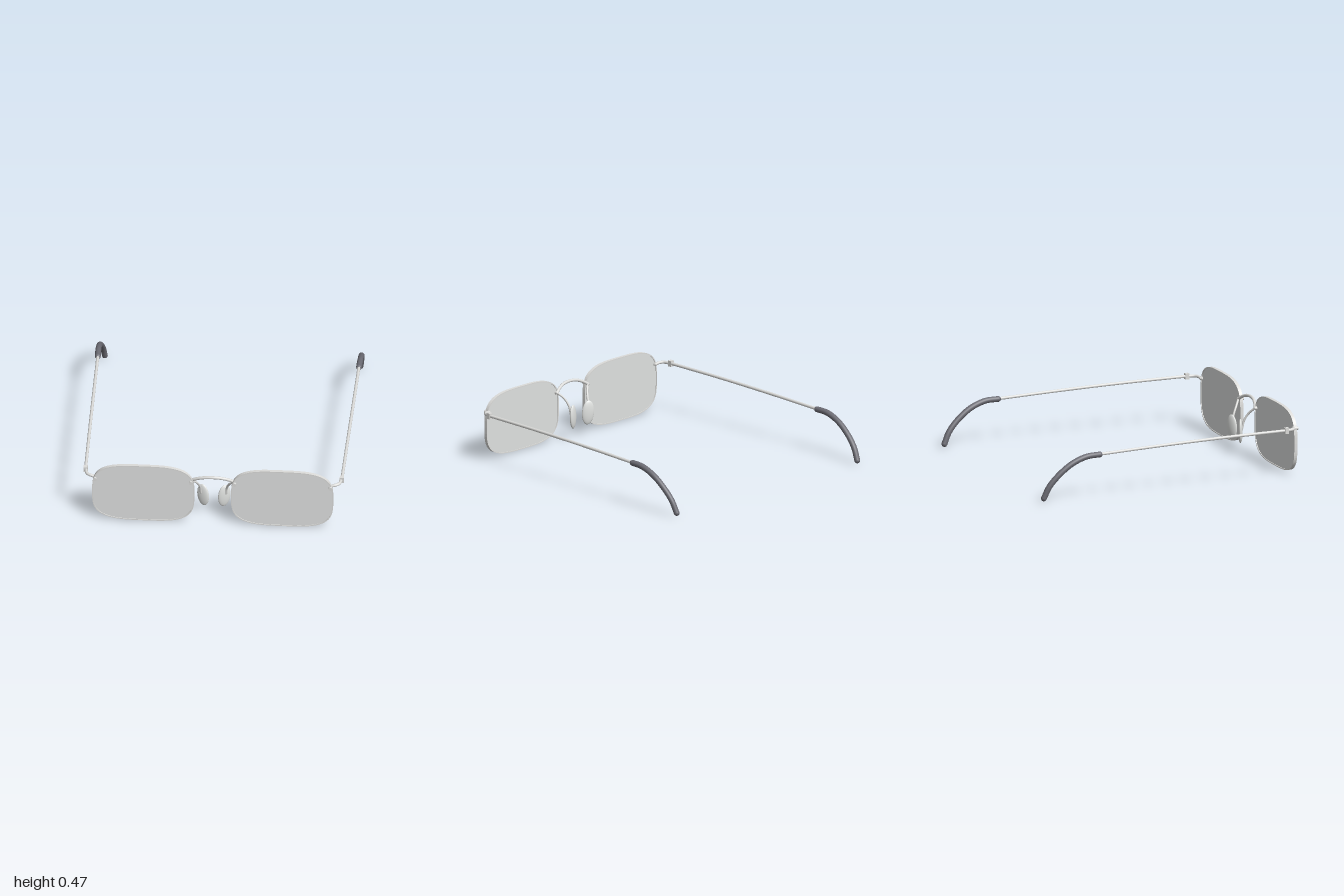
import * as THREE from 'three';

const mat = (name, color, side = THREE.FrontSide) => {
  const m = new THREE.MeshStandardMaterial({ color, side });
  m.name = name;
  return m;
};

export function createModel() {
  const model = new THREE.Group();
  model.name = 'eyeglasses';
  const metal = mat('silver metal', 0xdcdcda);
  const glass = mat('grey lens', 0xdfe1e0, THREE.DoubleSide);
  const pad = mat('pale nose pad', 0xe0e2e0);
  const rubber = mat('dark temple tip', 0x6c6c74);

  const add = (name, geometry, material, x = 0, y = 0, z = 0) => {
    const mesh = new THREE.Mesh(geometry, material);
    mesh.name = name;
    mesh.position.set(x, y, z);
    model.add(mesh);
    return mesh;
  };

  // Round wire along a smooth path; s mirrors it in x
  const wire = (name, points, radius, material, s = 1, segments = 32) => {
    const curve = new THREE.CatmullRomCurve3(points.map(([x, y, z]) => new THREE.Vector3(s * x, y, z)));
    add(name, new THREE.TubeGeometry(curve, segments, radius, 12), material);
    for (const t of [0, 1]) {
      const p = curve.getPoint(t);
      add(name + 'End', new THREE.SphereGeometry(radius, 12, 8), material, p.x, p.y, p.z);
    }
  };

  // Rounded-rectangle lens outline (superellipse), shrunk by inset
  const outline = (inset) => {
    const pts = [];
    for (let i = 0; i < 96; i++) {
      const a = (i / 96) * Math.PI * 2, c = Math.cos(a), d = Math.sin(a), e = 2 / 3.4;
      pts.push(new THREE.Vector2(
        Math.sign(c) * Math.abs(c) ** e * (0.362 - inset),
        Math.sign(d) * Math.abs(d) ** e * (0.2325 - inset)));
    }
    return pts;
  };

  for (const s of [1, -1]) {
    const side = s > 0 ? 'left' : 'right';
    const lensX = s * 0.492;

    // Lens and its thin rim
    add(side + 'Lens', new THREE.ExtrudeGeometry(new THREE.Shape(outline(0.006)),
      { depth: 0.014, bevelEnabled: false }), glass, lensX, 0.2325, 0.968);
    const ring = new THREE.Shape(outline(0));
    ring.holes.push(new THREE.Path(outline(0.007)));
    add(side + 'Rim', new THREE.ExtrudeGeometry(ring, { depth: 0.024, bevelEnabled: false }),
      metal, lensX, 0.2325, 0.963);

    // Screw studs through the lens
    for (const x of [0.155, 0.835]) {
      const stud = add(side + 'Stud', new THREE.CylinderGeometry(0.013, 0.013, 0.042, 16),
        metal, s * x, 0.342, 0.977);
      stud.rotation.x = Math.PI / 2;
    }

    // End piece curving back to the hinge
    wire(side + 'EndPiece', [[0.835, 0.342, 0.958], [0.865, 0.348, 0.954],
      [0.893, 0.35, 0.935], [0.905, 0.35, 0.88]], 0.011, metal, s);
    add(side + 'Hinge', new THREE.BoxGeometry(0.03, 0.042, 0.03), metal, s * 0.908, 0.35, 0.88);

    // Temple arm and hooked tip
    wire(side + 'Temple', [[0.908, 0.35, 0.88], [0.914, 0.345, 0.4],
      [0.92, 0.332, -0.1], [0.925, 0.314, -0.57]], 0.011, metal, s);
    wire(side + 'TempleTip', [[0.925, 0.313, -0.56], [0.928, 0.307, -0.66], [0.927, 0.265, -0.77],
      [0.922, 0.19, -0.87], [0.914, 0.11, -0.94], [0.906, 0.028, -0.979]], 0.021, rubber, s, 40);

    // Nose pad and its arm
    wire(side + 'PadArm', [[0.152, 0.342, 0.957], [0.115, 0.3, 0.925],
      [0.095, 0.245, 0.897], [0.09, 0.19, 0.886]], 0.008, metal, s);
    const nosePad = add(side + 'NosePad', new THREE.SphereGeometry(1, 32, 20), pad,
      s * 0.075, 0.166, 0.877);
    nosePad.scale.set(0.046, 0.088, 0.017);
    nosePad.rotation.set(0, s * 0.4, -s * 0.07);
  }

  // Arched bridge
  wire('bridge', [[-0.155, 0.342, 0.957], [-0.125, 0.362, 0.968], [-0.07, 0.384, 0.981],
    [0, 0.392, 0.986], [0.07, 0.384, 0.981], [0.125, 0.362, 0.968], [0.155, 0.342, 0.957]], 0.011, metal);

  return model;
}
